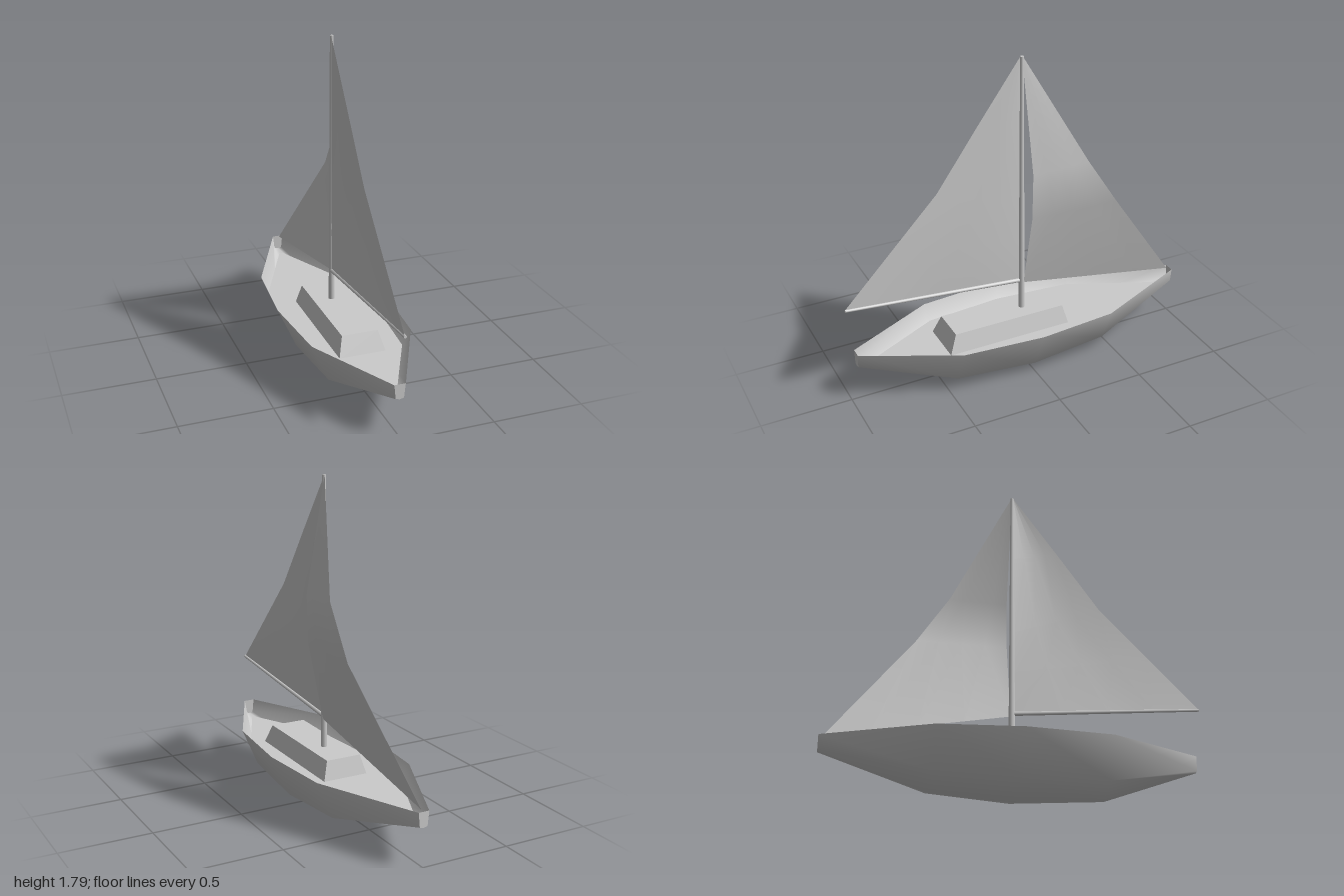
import * as THREE from 'three';

const mat = () => new THREE.MeshStandardMaterial({ color: 0xcccccc, side: THREE.DoubleSide });

function add(group, name, geometry) {
  const mesh = new THREE.Mesh(geometry, mat());
  mesh.name = name;
  group.add(mesh);
  return mesh;
}

// Smooth surface through rows of points with equal counts
function loft(rows) {
  const n = rows[0].length, index = [];
  for (let i = 0; i < rows.length - 1; i++) {
    for (let j = 0; j < n - 1; j++) {
      const a = i * n + j, c = a + n;
      index.push(a, c, a + 1, a + 1, c, c + 1);
    }
  }
  const g = new THREE.BufferGeometry();
  g.setAttribute('position', new THREE.Float32BufferAttribute(rows.flat(2), 3));
  g.setIndex(index);
  g.computeVertexNormals();
  return g;
}

// Triangular sail: each row runs from its inner to its outer edge, with a little belly
function sail(edges, belly) {
  const cols = 4;
  return loft(edges.map(([from, to], r) => {
    const a = new THREE.Vector3(...from), b = new THREE.Vector3(...to);
    const depth = r === 0 || r === edges.length - 1 ? 0 : belly;
    return Array.from({ length: cols + 1 }, (_, k) => {
      const p = a.clone().lerp(b, k / cols);
      p.x += depth * Math.sin(Math.PI * k / cols);
      return p.toArray();
    });
  }));
}

// Round spar between two points
function spar(from, to, r0, r1) {
  const a = new THREE.Vector3(...from), b = new THREE.Vector3(...to);
  const dir = b.clone().sub(a);
  const g = new THREE.CylinderGeometry(r1, r0, dir.length(), 8);
  g.applyQuaternion(new THREE.Quaternion().setFromUnitVectors(new THREE.Vector3(0, 1, 0), dir.normalize()));
  const mid = a.add(b).multiplyScalar(0.5);
  return g.translate(mid.x, mid.y, mid.z);
}

export function createModel() {
  const boat = new THREE.Group();
  boat.name = 'sailboat';
  const rim = 0.295;

  // Hull stations: z, rim half width, chine half width, chine y, keel y
  const stations = [
    [-1, 0.03, 0.022, 0.217, 0.212],
    [-0.44, 0.276, 0.185, 0.085, 0.03],
    [0, 0.315, 0.21, 0.06, 0.004],
    [0.455, 0.276, 0.185, 0.085, 0.03],
    [0.957, 0.03, 0.022, 0.217, 0.212],
  ];
  const section = ([z, w, cw, cy, ky]) =>
    [[w, rim, z], [cw, cy, z], [0, ky, z], [-cw, cy, z], [-w, rim, z]];
  add(boat, 'hull', loft(stations.map(section)));

  // Flat plates closing bow and stern
  for (const [name, s] of [['sternPlate', stations[0]], ['bowPlate', stations[4]]]) {
    const outline = section(s).map(([x, y]) => new THREE.Vector2(x, y));
    add(boat, name, new THREE.ShapeGeometry(new THREE.Shape(outline)).translate(0, 0, s[0]));
  }

  // Sunken deck
  const half = [[-0.93, 0.012], [-0.43, 0.235], [0, 0.272], [0.44, 0.235], [0.89, 0.012]];
  add(boat, 'deck', loft(half.map(([z, w]) => [[-w, 0.205, z], [w, 0.205, z]])));

  // Cabin with sloping sides
  const cabin = new THREE.BoxGeometry(1, 1, 1);
  const p = cabin.attributes.position;
  for (let i = 0; i < p.count; i++) {
    const top = p.getY(i) > 0, front = p.getZ(i) > 0;
    const z = front ? (top ? 0.425 : 0.47) : (top ? -0.225 : -0.25);
    p.setXYZ(i, Math.sign(p.getX(i)) * (top ? 0.1 : 0.13), top ? 0.31 : 0.2, z);
  }
  cabin.computeVertexNormals();
  add(boat, 'cabin', cabin);

  // Mast and boom
  add(boat, 'mast', spar([0.005, 0.3, -0.018], [0.005, 1.79, -0.018], 0.018, 0.01));
  add(boat, 'boom', spar([0.003, 0.482, -0.01], [0.003, 0.57, 0.998], 0.012, 0.008));

  // Mainsail, from masthead down to the boom
  add(boat, 'mainsail', sail([
    [[0, 1.785, -0.015], [0, 1.785, -0.01]],
    [[0, 1.4, -0.01], [0, 1.455, 0.23]],
    [[0, 0.95, -0.01], [0, 1.125, 0.465]],
    [[0, 0.72, -0.01], [0, 0.85, 0.73]],
    [[0, 0.485, -0.01], [0, 0.575, 0.995]],
  ], 0.012));

  // Headsail, blown out to the left
  add(boat, 'headsail', sail([
    [[0.005, 1.785, -0.02], [0.005, 1.785, -0.025]],
    [[0.115, 1.17, -0.03], [0.147, 1.2, -0.34]],
    [[0.107, 0.91, -0.03], [0.147, 0.925, -0.52]],
    [[0.015, 0.47, -0.025], [0.003, 0.298, -0.98]],
  ], 0.004));

  return boat;
}
